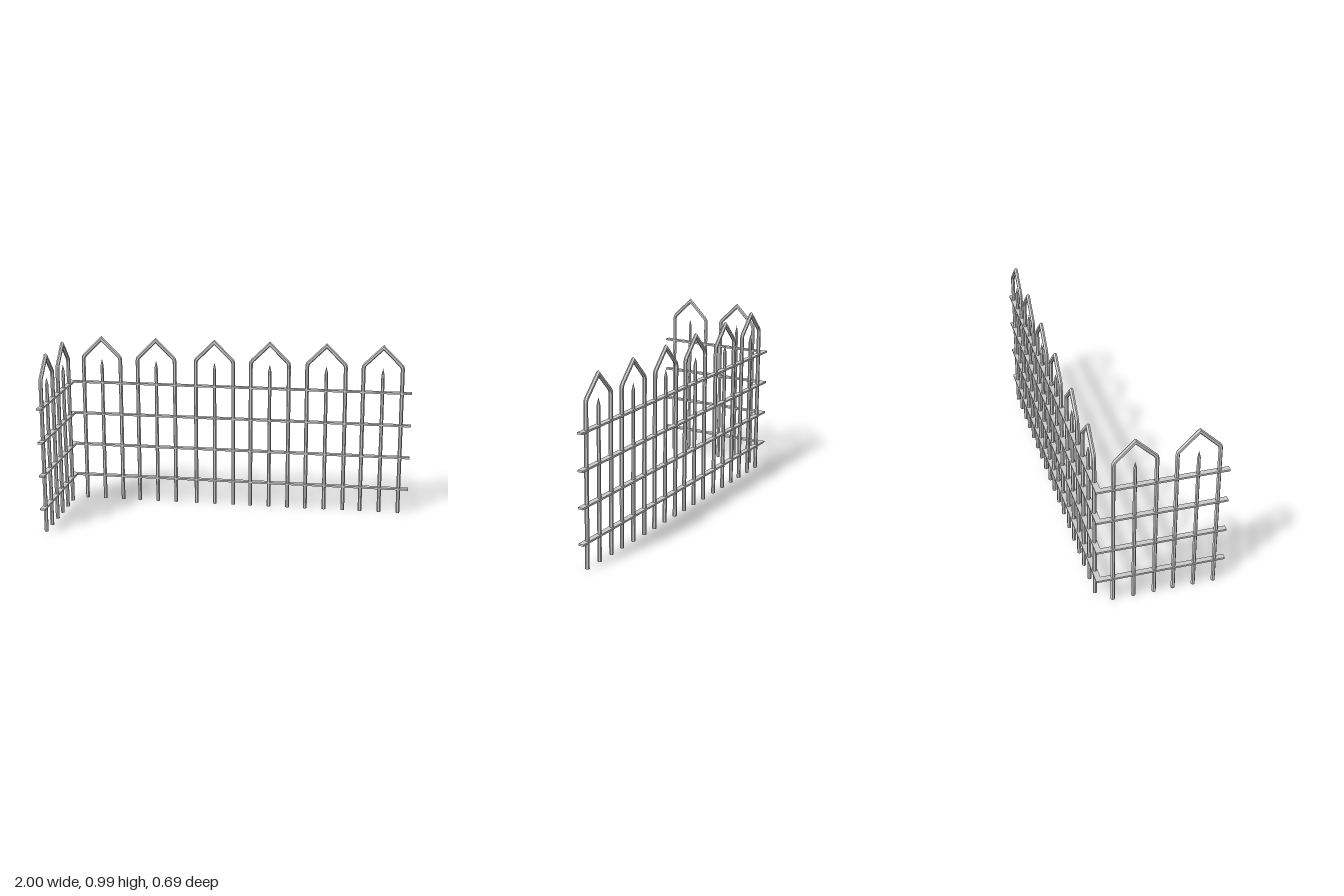
import * as THREE from 'three';

const R = 0.0112, SIDES = 6;
const material = new THREE.MeshStandardMaterial({ color: 0xcccccc, flatShading: true });

function mesh(geometry, name) {
  const m = new THREE.Mesh(geometry, material);
  m.name = name;
  return m;
}

// Six-sided bar swept along a path in the xy plane, with mitred corners and end caps
function sweptBar(path) {
  const pts = path.map(([x, y]) => new THREE.Vector2(x, y));
  const pos = [], index = [];
  pts.forEach((p, i) => {
    const before = p.clone().sub(pts[Math.max(i - 1, 0)]).normalize();
    const after = pts[Math.min(i + 1, pts.length - 1)].clone().sub(p).normalize();
    const t = before.clone().add(after).normalize();
    const miter = 1 / t.dot(i ? before : after);
    for (let k = 0; k < SIDES; k++) {
      const ang = (k / SIDES) * Math.PI * 2;
      const off = R * Math.cos(ang) * miter;
      pos.push(p.x + t.y * off, p.y - t.x * off, R * Math.sin(ang));
    }
  });
  const last = (pts.length - 1) * SIDES;
  for (let i = 0; i < last; i += SIDES) {
    for (let k = 0; k < SIDES; k++) {
      const a = i + k, b = i + ((k + 1) % SIDES);
      index.push(a, b + SIDES, b, a, a + SIDES, b + SIDES);
    }
  }
  for (let k = 1; k < SIDES - 1; k++) {
    index.push(0, k, k + 1, last, last + k + 1, last + k);
  }
  const g = new THREE.BufferGeometry();
  g.setAttribute('position', new THREE.Float32BufferAttribute(pos, 3));
  g.setIndex(index);
  g.computeVertexNormals();
  return g;
}

export function createModel() {
  const fence = new THREE.Group();
  fence.name = 'cornerFence';

  // Pointed arch: two legs, softened shoulders, sharp apex
  const half = [[0.11, 0], [0.11, 0.853], [0.1075, 0.866], [0.1, 0.876]];
  const arch = sweptBar([
    ...half.map(([x, y]) => [-x, y]),
    [0, 0.975],
    ...half.slice().reverse(),
  ]);

  // Slightly tapered middle spike with a pointed tip
  const spike = new THREE.LatheGeometry(
    [[0, 0], [R, 0], [0.0095, 0.815], [0, 0.856]].map(([x, y]) => new THREE.Vector2(x, y)), SIDES);
  spike.rotateY(Math.PI / SIDES);

  function addPicket(x, z, turn) {
    const picket = new THREE.Group();
    picket.name = 'picket';
    picket.add(mesh(arch, 'arch'), mesh(spike, 'spike'));
    picket.position.set(x, 0, z);
    picket.rotation.y = turn;
    fence.add(picket);
  }

  // Long back run and short return at the right end
  for (const x of [-0.802, -0.479, -0.135, 0.187, 0.512, 0.833]) addPicket(x, -0.328, 0);
  for (const z of [0.18, -0.143]) addPicket(-0.985, z, Math.PI / 2);

  // Flat rails on both runs, meeting at the corner
  for (const y of [0.145, 0.335, 0.525, 0.715]) {
    const longRail = mesh(new THREE.BoxGeometry(2, 0.01, 0.03), 'longRail');
    longRail.position.set(0, y, -0.329);
    const shortRail = mesh(new THREE.BoxGeometry(0.03, 0.01, 0.658), 'shortRail');
    shortRail.position.set(-0.985, y, 0.015);
    fence.add(longRail, shortRail);
  }
  return fence;
}
